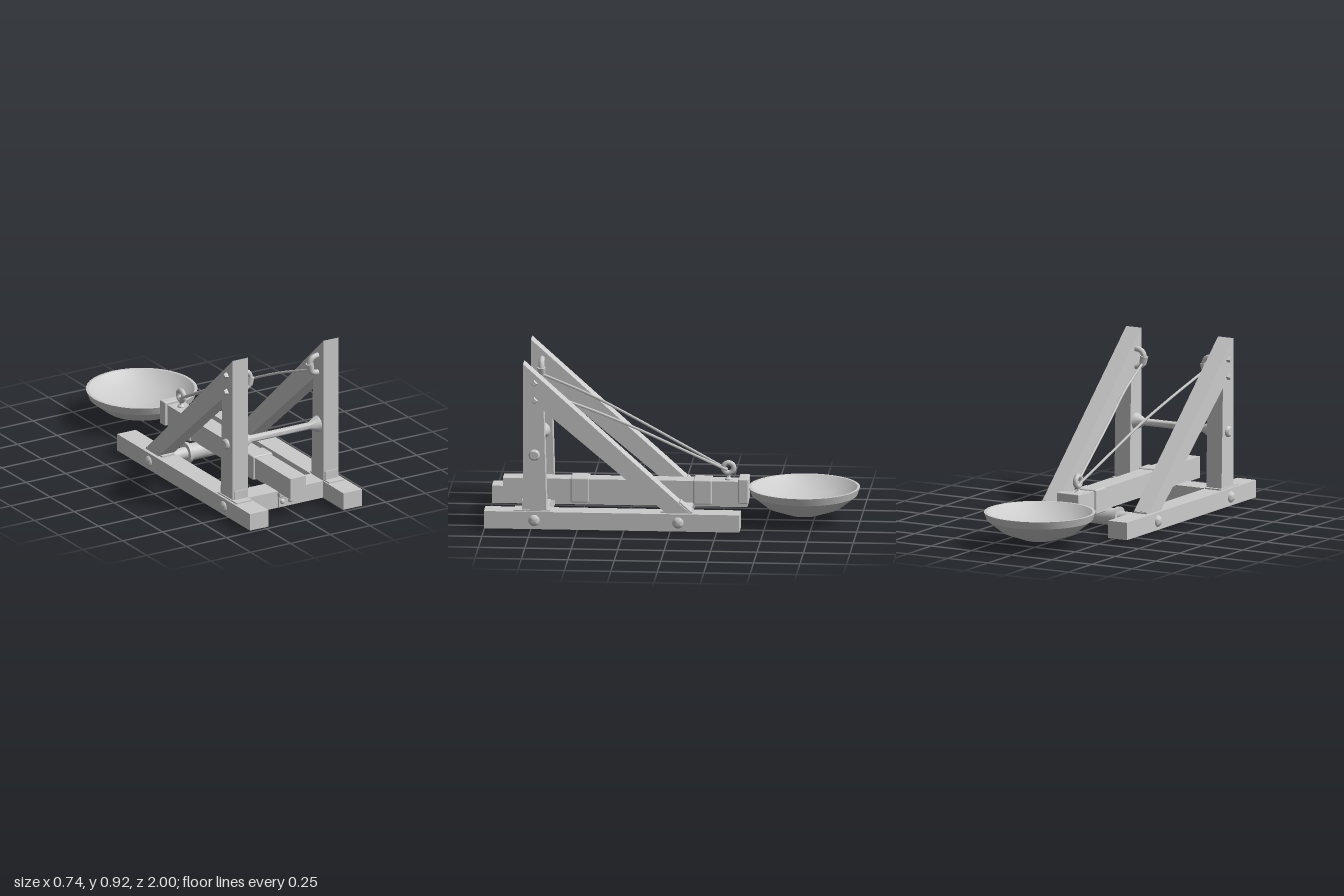
import * as THREE from 'three';
import { toCreasedNormals } from 'three/addons/utils/BufferGeometryUtils.js';
import { RoundedBoxGeometry } from 'three/addons/geometries/RoundedBoxGeometry.js';

const mat = new THREE.MeshStandardMaterial({ color: 0xcccccc });
const thinMat = new THREE.MeshStandardMaterial({ color: 0xcccccc, side: THREE.DoubleSide });

export function createModel() {
  const root = new THREE.Group();
  const V = (x, y, z) => new THREE.Vector3(x, y, z);

  function add(name, geometry, x = 0, y = 0, z = 0, material = mat) {
    const mesh = new THREE.Mesh(geometry, material);
    mesh.name = name;
    mesh.position.set(x, y, z);
    root.add(mesh);
    return mesh;
  }
  // Box from its lower and upper corner
  function box(name, x0, x1, y0, y1, z0, z1, radius = 0) {
    const s = [x1 - x0, y1 - y0, z1 - z0];
    const g = radius ? new RoundedBoxGeometry(...s, 2, radius) : new THREE.BoxGeometry(...s);
    return add(name, g, (x0 + x1) / 2, (y0 + y1) / 2, (z0 + z1) / 2);
  }
  // Turned part from [radius, height] pairs
  function turned(pairs, sides = 16, crease = 0.6) {
    const pts = pairs.map(([r, h]) => new THREE.Vector2(r, h));
    return toCreasedNormals(new THREE.LatheGeometry(pts, sides), crease);
  }
  // Turned part lying along x, growing away from the middle on side s
  function turnedX(name, s, pairs, y, z, sides, crease) {
    const m = add(name, turned(pairs, sides, crease), 0, y, z);
    m.rotation.z = -s * Math.PI / 2;
    return m;
  }

  // Post and slanted brace in one outline, drawn as (z, y)
  const outline = new THREE.Shape([
    [0.79, 0.105], [0.79, 0.915], [-0.11, 0.105], [0.02, 0.105],
    [0.68, 0.66], [0.665, 0.105],
  ].map(([z, y]) => new THREE.Vector2(z, y)));
  const frameGeo = new THREE.ExtrudeGeometry(outline, { depth: 0.095, bevelEnabled: false });

  for (const s of [1, -1]) {
    const sideBox = (name, a, b, ...rest) =>
      box(name, Math.min(s * a, s * b), Math.max(s * a, s * b), ...rest);

    sideBox('baseRail', 0.235, 0.352, 0.01, 0.105, -0.375, 1);
    const frame = add('postAndBrace', frameGeo, s > 0 ? 0.333 : -0.238);
    frame.rotation.y = -Math.PI / 2;

    // Metal feet at the post and the brace
    sideBox('postFootTab', 0.245, 0.325, 0.105, 0.16, 0.785, 0.797);
    sideBox('postFootPlate', 0.242, 0.34, 0.105, 0.112, 0.645, 0.84);
    sideBox('braceFootPlate', 0.245, 0.325, 0.105, 0.113, -0.12, 0.05);
    const tab = sideBox('braceFootTab', 0.248, 0.322, 0.132, 0.142, -0.118, -0.04);
    tab.rotation.x = -0.73;

    // Domed bolts on the outside of the rail
    for (const z of [0.73, -0.045]) {
      turnedX('railBolt', s,
        [[0.031, 0.34], [0.031, 0.355], [0.022, 0.366], [0, 0.37]], 0.058, z, 14, 0.9);
    }

    // Upper crossbar half with its flare and end peg
    turnedX('crossbar', s, [[0.02, 0], [0.02, 0.185], [0.042, 0.225], [0.046, 0.24]],
      0.415, 0.73, 18, 0.7);
    turnedX('crossbarPeg', s, [[0.032, 0.32], [0.03, 0.343], [0.022, 0.352], [0, 0.352]],
      0.415, 0.73, 14, 0.7);

    // U-shaped hook with two pegs
    const hookCurve = new THREE.CatmullRomCurve3([
      V(s * 0.26, 0.81, 0.73), V(s * 0.225, 0.81, 0.73), V(s * 0.197, 0.797, 0.73),
      V(s * 0.186, 0.763, 0.73), V(s * 0.197, 0.728, 0.73), V(s * 0.225, 0.715, 0.73),
      V(s * 0.26, 0.715, 0.73),
    ]);
    add('hook', new THREE.TubeGeometry(hookCurve, 20, 0.016, 8));
    for (const y of [0.715, 0.81]) {
      turnedX('hookPeg', s, [[0.021, 0.32], [0.019, 0.34], [0.014, 0.352], [0, 0.352]],
        y, 0.73, 4, 0.2);
    }
    // Rope loop round the hook
    const knot = add('ropeKnot', new THREE.CylinderGeometry(0.023, 0.02, 0.045, 8),
      s * 0.19, 0.752, 0.73);
    knot.rotation.z = s * 0.2;

    // Sagging rope to the eye on the arm
    const rope = new THREE.CatmullRomCurve3([
      V(s * 0.193, 0.735, 0.725), V(s * 0.15, 0.635, 0.46),
      V(s * 0.1, 0.53, 0.23), V(s * 0.055, 0.405, -0.02), V(s * 0.008, 0.272, -0.285),
    ]);
    add('rope', new THREE.TubeGeometry(rope, 24, 0.0075, 6), 0, 0, 0, thinMat);

    // Axle half with collar and flanges
    turnedX('axle', s, [
      [0.046, 0], [0.046, 0.05], [0.046, 0.1], [0.057, 0.1], [0.057, 0.12],
      [0.034, 0.12], [0.034, 0.24],
    ], 0.057, -0.05, 20);

    turnedX('frontPlateBolt', s, [[0, 0], [0, 0.001]], 0.045, 0.79, 4).visible = false;
    const bolt = add('plateBolt', turned([[0.015, 0], [0.012, 0.008], [0, 0.012]], 12, 1),
      s * 0.025, 0.043, 0.796);
    bolt.rotation.x = Math.PI / 2;
    root.remove(root.children.find((c) => c.name === 'frontPlateBolt'));
  }

  // Front cross beam with the arm rest bracket
  box('crossBeam', -0.236, 0.236, 0.01, 0.105, 0.66, 0.79);
  box('bracketPlate', -0.048, 0.048, 0.013, 0.085, 0.785, 0.797);
  box('bracketShelf', -0.053, 0.053, 0.075, 0.1, 0.785, 0.815, 0.006);

  // Throwing arm, wraps and end block
  box('arm', -0.05, 0.05, 0.1, 0.218, -0.4, 0.92);
  for (const z of [0.505, -0.155]) {
    box('armWrap', -0.062, 0.062, 0.09, 0.226, z - 0.05, z + 0.05, 0.008);
  }
  box('armEndBlock', -0.068, 0.068, 0.1, 0.235, -0.402, -0.348, 0.006);

  // Eye bolt
  add('eyeStem', turned([[0.022, 0.21], [0.02, 0.224], [0.009, 0.235], [0.011, 0.262]], 10),
    0, 0, -0.292);
  const ring = add('eyeRing', new THREE.TorusGeometry(0.028, 0.014, 8, 18), 0, 0.283, -0.292);
  ring.rotation.y = Math.PI / 2;

  // Hollow bowl
  add('bowl', turned([
    [0, 0.035], [0.085, 0.037], [0.2, 0.078], [0.285, 0.145], [0.3, 0.187],
    [0.285, 0.187], [0.25, 0.155], [0.19, 0.12], [0.1, 0.092], [0, 0.083],
  ], 40, 0.55), 0, 0, -0.7);

  return root;
}
